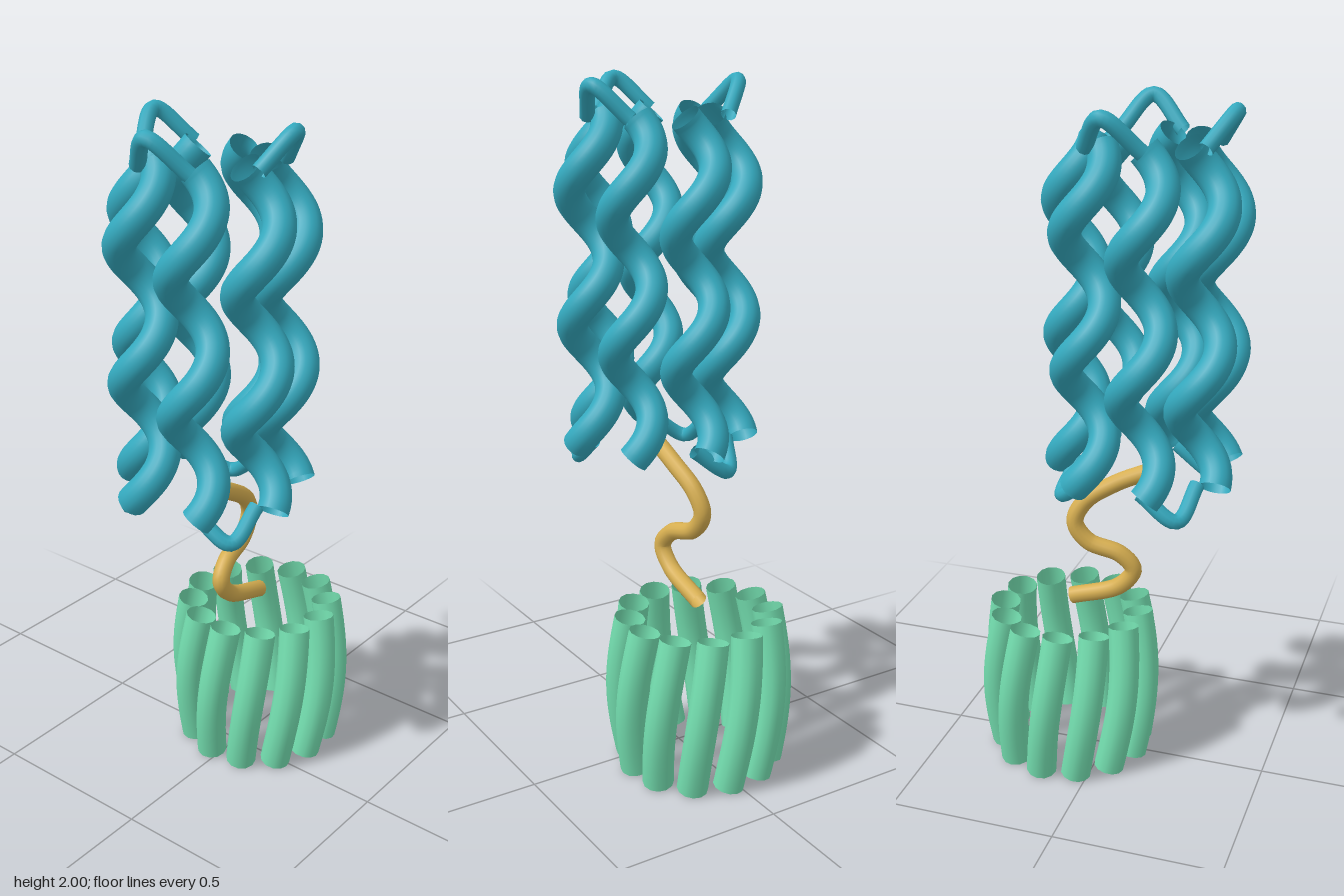
import * as THREE from 'three';

const mat = (name, color) => {
  const m = new THREE.MeshStandardMaterial({ color, side: THREE.DoubleSide });
  m.name = name;
  return m;
};

// Open-ended tube through a list of points
function tube(name, points, radius, segments, sides, material) {
  const curve = new THREE.CatmullRomCurve3(points);
  const mesh = new THREE.Mesh(new THREE.TubeGeometry(curve, segments, radius, sides, false), material);
  mesh.name = name;
  return mesh;
}

// Points from a rule f(t), t in 0..1
const sample = (n, f) => Array.from({ length: n + 1 }, (_, i) => f(i / n));

export function createModel() {
  const teal = mat('teal', 0x34a9be);
  const gold = mat('gold', 0xd6ae50);
  const green = mat('green', 0x74dfb0);
  const model = new THREE.Group();
  model.name = 'proteinModel';

  // Ring of seven coiled columns
  const bundle = new THREE.Group();
  bundle.name = 'helixBundle';
  const ringX = -0.115, ringR = 0.2, count = 7;
  const coilR = 0.053, turns = 2.45, topY = 1.89, bottomY = 0.96;
  const onRing = (k, r, y) => {
    const a = (k / count) * Math.PI * 2;
    return new THREE.Vector3(ringX + r * Math.cos(a), y, -r * Math.sin(a));
  };
  for (let k = 0; k < count; k++) {
    const axis = onRing(k, ringR, 0);
    const inward = (k / count) * Math.PI * 2 + Math.PI;
    const pts = sample(60, t => {
      const a = inward - t * turns * Math.PI * 2;
      return new THREE.Vector3(
        axis.x + coilR * Math.cos(a),
        topY + (bottomY - topY) * t,
        axis.z - coilR * Math.sin(a));
    });
    bundle.add(tube('helix' + (k + 1), pts, 0.045, 110, 18, teal));
  }

  // Thin loops joining neighbouring columns, alternately below and above
  for (let k = 0; k < count - 1; k++) {
    const top = k % 2 === 1;
    const endY = top ? 1.89 : 0.96, peakY = top ? 1.978 : 0.886;
    const pts = [
      onRing(k, ringR, endY),
      onRing(k + 0.5, 0.24, peakY),
      onRing(k + 1, ringR, endY),
    ];
    bundle.add(tube(top ? 'upperLoop' : 'lowerLoop', pts, 0.022, 24, 10, teal));
  }
  model.add(bundle);

  // Winding linker between the bundle and the barrel
  const path = [
    [-0.134, 0.945, 0.005], [-0.03, 0.895, 0], [0.062, 0.83, -0.015],
    [0.09, 0.765, -0.025], [0.05, 0.705, -0.02], [-0.045, 0.67, -0.005],
    [-0.083, 0.62, 0.005], [-0.04, 0.56, 0.003], [0.11, 0.505, 0],
  ].map(p => new THREE.Vector3(...p));
  model.add(tube('linker', path, 0.026, 64, 12, gold));

  // Barrel of twelve bowed, slightly twisted strands
  const barrel = new THREE.Group();
  barrel.name = 'barrel';
  for (let k = 0; k < 12; k++) {
    const pts = sample(10, t => {
      const a = (k / 12) * Math.PI * 2 + (t - 0.5) * 0.28;
      const r = 0.206 + 0.025 * Math.sin(Math.PI * t);
      return new THREE.Vector3(0.1125 + r * Math.sin(a), 0.008 + 0.462 * t, r * Math.cos(a));
    });
    barrel.add(tube('strand' + (k + 1), pts, 0.046, 20, 12, green));
  }
  model.add(barrel);

  return model;
}
